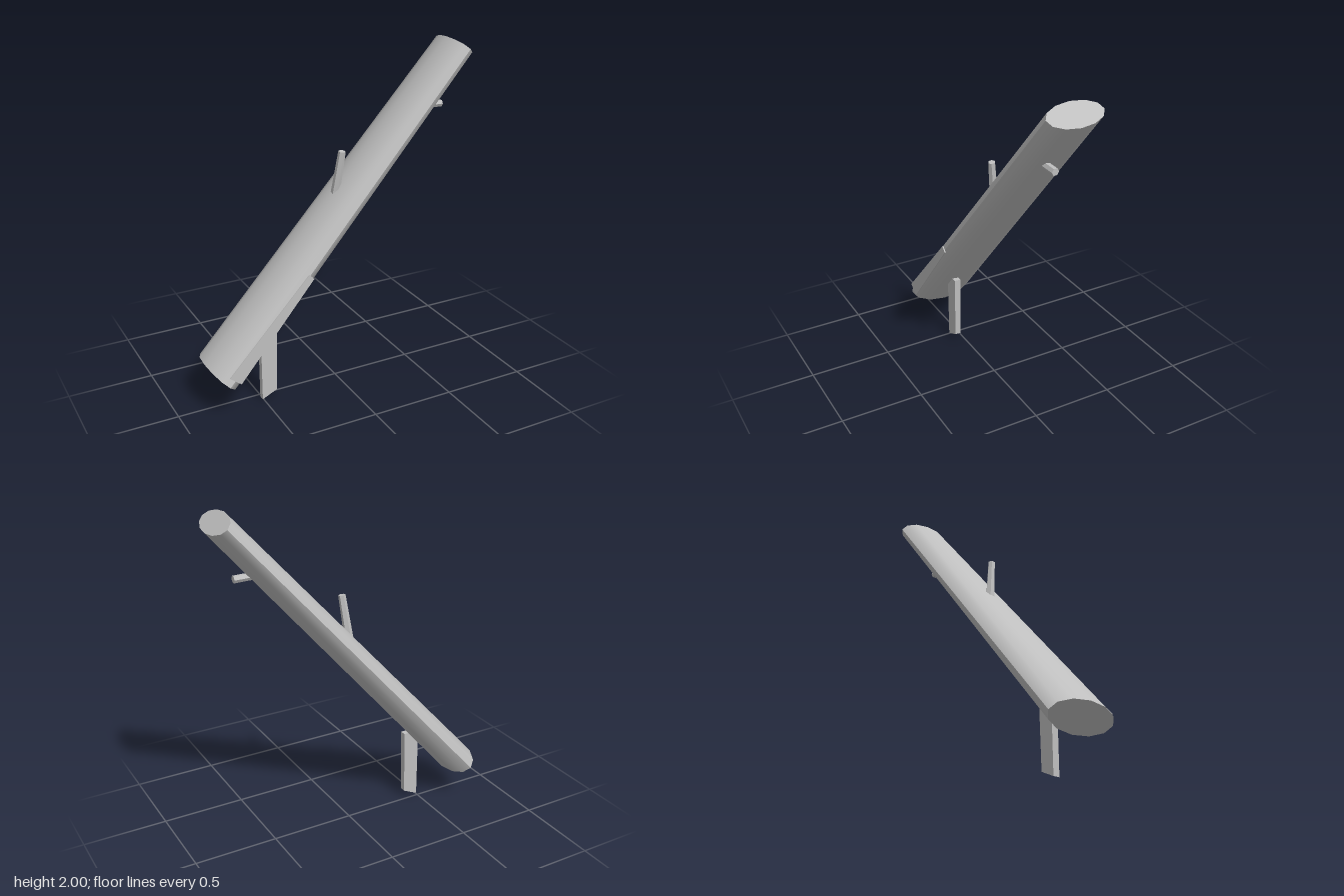
import * as THREE from 'three';
import { toCreasedNormals } from 'three/addons/utils/BufferGeometryUtils.js';

const grey = new THREE.MeshStandardMaterial({ color: 0xbfbfbf });
grey.name = 'grey';

// Tapered round bar between two points
function bar(name, from, to, rFrom, rTo, sides, flatten) {
  const a = new THREE.Vector3(...from), b = new THREE.Vector3(...to);
  const dir = b.clone().sub(a);
  let geo = new THREE.CylinderGeometry(rTo, rFrom, dir.length(), sides);
  if (flatten) flatten(geo, dir.length());
  geo = toCreasedNormals(geo, Math.PI / 4);
  const mesh = new THREE.Mesh(geo, grey);
  mesh.name = name;
  mesh.position.copy(a).add(b).multiplyScalar(0.5);
  mesh.quaternion.setFromUnitVectors(new THREE.Vector3(0, 1, 0), dir.normalize());
  return mesh;
}

// Flat outline in the xy plane, extruded along z
function slab(name, points, z, depth) {
  const shape = new THREE.Shape(points.map(([x, y]) => new THREE.Vector2(x, y)));
  const mesh = new THREE.Mesh(
    new THREE.ExtrudeGeometry(shape, { depth, bevelEnabled: false }), grey);
  mesh.name = name;
  mesh.position.z = z;
  return mesh;
}

export function createModel() {
  const model = new THREE.Group();
  model.name = 'leaningLog';

  // Leaning trunk: oval section, thinner towards the top
  model.add(bar('trunk', [-0.755, 0.225, -0.003], [0.769, 1.95, -0.003],
    0.204, 0.163, 12, (geo, length) => {
      const p = geo.attributes.position;
      for (let i = 0; i < p.count; i++) {
        const t = p.getY(i) / length + 0.5;
        p.setX(i, p.getX(i) * THREE.MathUtils.lerp(0.485, 0.45, t));
      }
    }));

  // Thin tapered plank along the front side
  model.add(slab('sidePlank',
    [[-0.755, 0.287], [-0.69, 0.235], [-0.235, 0.78], [-0.265, 0.808]], 0.198, 0.007));

  // Support post with a slanted foot
  model.add(slab('supportPost',
    [[-0.505, 0], [-0.413, 0.043], [-0.405, 0.45], [-0.505, 0.45]], 0.02, 0.038));

  // Two short branch stubs
  model.add(bar('upperBranch', [-0.003, 1.14, -0.003], [0.028, 1.43, 0.032], 0.027, 0.021, 6));
  model.add(bar('sidePeg', [0.47, 1.63, 0.033], [0.671, 1.626, 0.033], 0.021, 0.021, 6));

  return model;
}
